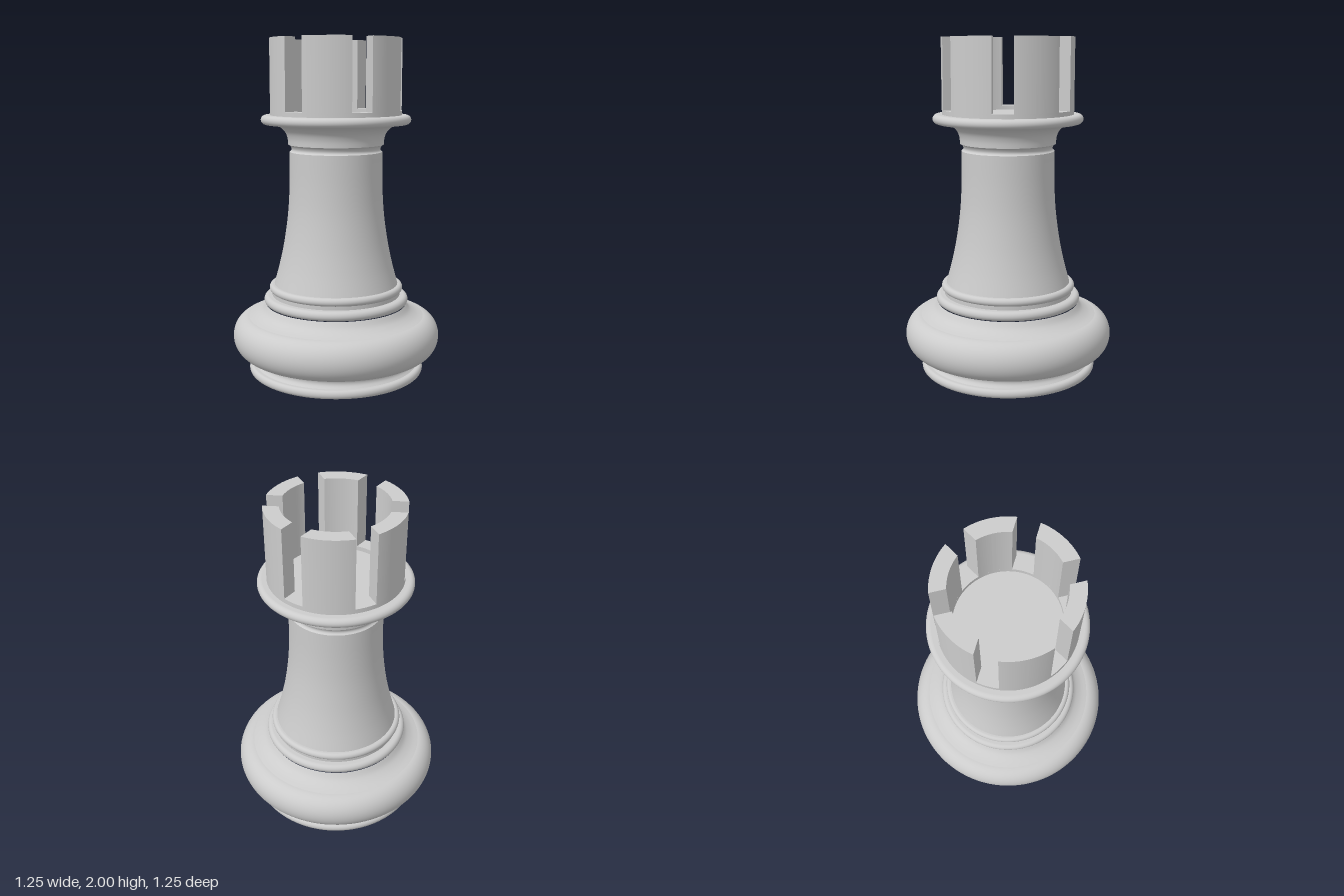
import * as THREE from 'three';
import { toCreasedNormals } from 'three/addons/utils/BufferGeometryUtils.js';

const SEGMENTS = 96;
const material = new THREE.MeshStandardMaterial({ color: 0xcccccc });

function addMesh(group, name, geometry) {
  const mesh = new THREE.Mesh(geometry, material);
  mesh.name = name;
  group.add(mesh);
  return mesh;
}

// Turned part from [radius, height] points, listed from bottom to top
function turned(group, name, points) {
  const profile = points.map(([r, y]) => new THREE.Vector2(r, y));
  return addMesh(group, name, new THREE.LatheGeometry(profile, SEGMENTS));
}

// Smooth turned part through a few points
function turnedCurve(group, name, points, steps = 24) {
  const curve = new THREE.SplineCurve(points.map(([r, y]) => new THREE.Vector2(r, y)));
  return addMesh(group, name, new THREE.LatheGeometry(curve.getPoints(steps), SEGMENTS));
}

// Rounded ring: half-ellipse bulging from radius r out to r + depth
function bead(group, name, r, depth, y0, y1, steps = 16) {
  const points = [];
  for (let i = 0; i <= steps; i++) {
    const a = -Math.PI / 2 + (Math.PI * i) / steps;
    points.push([r + depth * Math.cos(a), (y0 + y1) / 2 + ((y1 - y0) / 2) * Math.sin(a)]);
  }
  return turned(group, name, points);
}

// Flat plan shape raised from y0 to y1
function raised(shape, y0, y1) {
  const geometry = new THREE.ExtrudeGeometry(shape, { depth: y1 - y0, bevelEnabled: false, curveSegments: 48 });
  geometry.rotateX(-Math.PI / 2);
  geometry.translate(0, y0, 0);
  return toCreasedNormals(geometry, 0.5);
}

export function createModel() {
  const model = new THREE.Group();
  model.name = 'rook';

  // Base
  turned(model, 'underside', [[0, 0], [0.51, 0]]);
  bead(model, 'footRing', 0.51, 0.02, 0, 0.05);
  turned(model, 'footRingTop', [[0.51, 0.05], [0.495, 0.05]]);
  turnedCurve(model, 'footCove', [[0.495, 0.05], [0.482, 0.065], [0.479, 0.083], [0.487, 0.102], [0.5, 0.113]], 12);
  turned(model, 'baseBulgeUnderside', [[0.495, 0.113], [0.53, 0.113]]);
  bead(model, 'baseBulge', 0.525, 0.1, 0.113, 0.347, 32);
  turnedCurve(model, 'baseShoulder', [[0.53, 0.347], [0.49, 0.36], [0.45, 0.385], [0.425, 0.42]], 12);

  // Collar beads under the shaft
  turned(model, 'lowerBeadUnderside', [[0.4, 0.42], [0.415, 0.42]]);
  bead(model, 'lowerBead', 0.41, 0.026, 0.42, 0.475);
  turned(model, 'lowerBeadTop', [[0.41, 0.475], [0.385, 0.475]]);
  turned(model, 'beadGroove', [[0.387, 0.475], [0.387, 0.5]]);
  bead(model, 'upperBead', 0.382, 0.021, 0.497, 0.543);
  turned(model, 'upperBeadTop', [[0.382, 0.543], [0.36, 0.543]]);

  // Shaft and neck
  turnedCurve(model, 'shaft', [[0.373, 0.543], [0.339, 0.67], [0.31, 0.81], [0.287, 0.98], [0.277, 1.15], [0.275, 1.34]], 32);
  turnedCurve(model, 'neckGroove', [[0.275, 1.34], [0.266, 1.348], [0.264, 1.36], [0.272, 1.376], [0.284, 1.383]], 12);
  turnedCurve(model, 'neckFlare', [[0.284, 1.383], [0.287, 1.42], [0.3, 1.455], [0.327, 1.483], [0.365, 1.498], [0.42, 1.502]], 24);

  // Platform
  bead(model, 'platformRim', 0.415, 0.028, 1.502, 1.557);
  turned(model, 'platformFloor', [[0.415, 1.557], [0, 1.557]]);

  // Low wall joining the battlements
  const inner = 0.3, outer = 0.388, slot = 0.061;
  const wall = new THREE.Shape().absarc(0, 0, outer, 0, Math.PI * 2);
  wall.holes.push(new THREE.Path().absarc(0, 0, inner, 0, Math.PI * 2, true));
  addMesh(model, 'parapet', raised(wall, 1.557, 1.583));

  // Six battlements separated by parallel-sided slots
  const outerHalf = Math.PI / 6 - Math.asin(slot / outer);
  const innerHalf = Math.PI / 6 - Math.asin(slot / inner);
  const block = new THREE.Shape();
  block.absarc(0, 0, outer, -outerHalf, outerHalf, false);
  block.absarc(0, 0, inner, innerHalf, -innerHalf, true);
  block.closePath();
  const blockGeometry = raised(block, 1.583, 2);
  for (let i = 0; i < 6; i++) {
    addMesh(model, 'battlement' + (i + 1), blockGeometry).rotation.y = (i * Math.PI) / 3;
  }

  return model;
}
